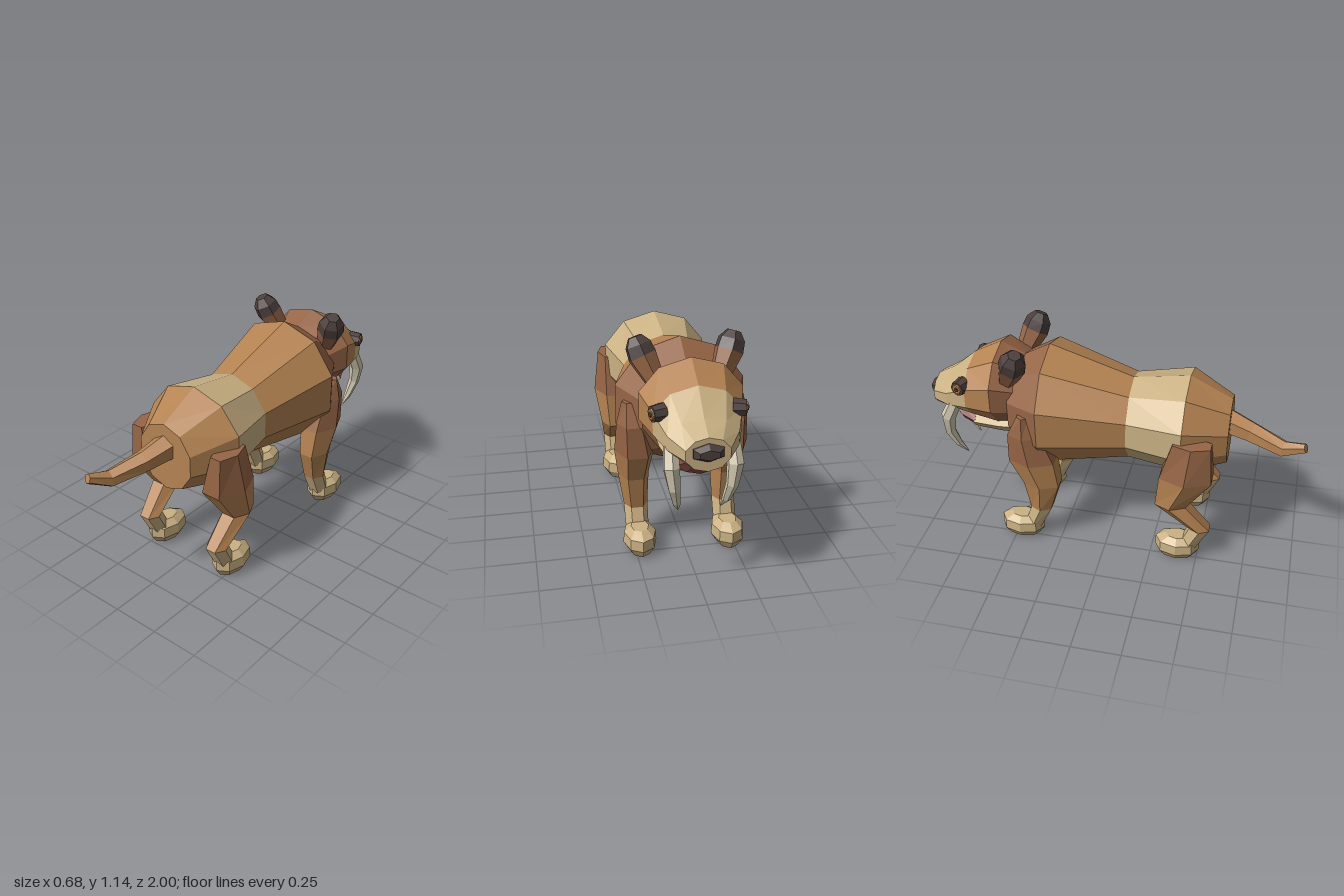
import * as THREE from 'three';

const mat = (name, color, extra = {}) => {
  const m = new THREE.MeshStandardMaterial({ color, flatShading: true, ...extra });
  m.name = name;
  return m;
};

// Elliptical ring across the z axis, first corner on top
function ringZ(z, cy, rx, ry, n = 10, cx = 0) {
  return Array.from({ length: n }, (_, i) => {
    const a = (i / n) * Math.PI * 2;
    return new THREE.Vector3(cx + Math.sin(a) * rx, cy + Math.cos(a) * ry, z);
  });
}

// Elliptical ring across the y axis, first corner on the side
function ringY(y, cx, rx, cz, rz, n = 6) {
  return Array.from({ length: n }, (_, i) => {
    const a = (i / n) * Math.PI * 2;
    return new THREE.Vector3(cx + Math.cos(a) * rx, y, cz + Math.sin(a) * rz);
  });
}

// Rings standing square to a bent path; stops are [x, y, z, radius]
function ringsAlong(stops, n = 6) {
  const pts = stops.map(s => new THREE.Vector3(s[0], s[1], s[2]));
  return stops.map((s, i) => {
    const dir = pts[Math.min(i + 1, pts.length - 1)].clone().sub(pts[Math.max(i - 1, 0)]).normalize();
    const side = new THREE.Vector3(1, 0, 0).addScaledVector(dir, -dir.x).normalize();
    const up = new THREE.Vector3().crossVectors(dir, side);
    return Array.from({ length: n }, (_, k) => {
      const a = ((k + 0.5) / n) * Math.PI * 2;
      return pts[i].clone().addScaledVector(side, Math.cos(a) * s[3]).addScaledVector(up, Math.sin(a) * s[3]);
    });
  });
}

// Closed faceted skin over rings, one material per segment, always facing outward
function skin(name, rings, mats) {
  const n = rings[0].length, tris = [], geo = new THREE.BufferGeometry();
  const used = [...new Set(mats)];
  const centre = r => r.reduce((c, p) => c.add(p), new THREE.Vector3()).divideScalar(n);
  const c0 = centre(rings[0]), c1 = centre(rings[rings.length - 1]);
  for (let s = 0; s < rings.length - 1; s++) {
    const start = tris.length, A = rings[s], B = rings[s + 1];
    for (let i = 0; i < n; i++) {
      const j = (i + 1) % n;
      tris.push([A[i], B[i], B[j]], [A[i], B[j], A[j]]);
      if (s === 0) tris.push([c0, A[i], A[j]]);
      if (s === rings.length - 2) tris.push([c1, B[j], B[i]]);
    }
    geo.addGroup(start * 3, (tris.length - start) * 3, used.indexOf(mats[Math.min(s, mats.length - 1)]));
  }
  const volume = tris.reduce((v, [a, b, c]) => v + a.clone().sub(c0).dot(b.clone().sub(c0).cross(c.clone().sub(c0))), 0);
  if (volume < 0) tris.forEach(t => t.reverse());
  geo.setFromPoints(tris.flat());
  geo.computeVertexNormals();
  const mesh = new THREE.Mesh(geo, used);
  mesh.name = name;
  return mesh;
}

export function createModel() {
  const fur = mat('brown fur', 0xb58352);
  const mane = mat('dark brown fur', 0x966546);
  const tan = mat('tan fur', 0xcbb284);
  const dark = mat('charcoal', 0x4c403d);
  const ivory = mat('ivory', 0xd3cbb2);
  const red = mat('mouth red', 0x87483f);
  const amber = mat('amber', 0xb5763c);

  const model = new THREE.Group();
  model.name = 'sabreToothCat';

  // Trunk from rump to neck
  model.add(skin('body', [
    ringZ(0.61, 0.69, 0.167, 0.18),
    ringZ(0.39, 0.72, 0.292, 0.26),
    ringZ(0.1, 0.71, 0.226, 0.225),
    ringZ(-0.34, 0.745, 0.335, 0.33),
    ringZ(-0.52, 0.755, 0.225, 0.22),
  ], [fur, tan, fur, mane]));

  // Head, tapering into a pale muzzle
  model.add(skin('head', [
    ringZ(-0.46, 0.81, 0.19, 0.185),
    ringZ(-0.6, 0.84, 0.257, 0.22),
    ringZ(-0.75, 0.81, 0.215, 0.17),
    ringZ(-0.87, 0.768, 0.17, 0.108),
    ringZ(-0.965, 0.745, 0.105, 0.08),
  ], [mane, fur, tan, tan]));

  model.add(skin('nose', [
    ringZ(-0.93, 0.757, 0.08, 0.045, 6),
    ringZ(-0.975, 0.757, 0.078, 0.042, 6),
    ringZ(-1, 0.757, 0.05, 0.024, 6),
  ], [dark]));

  // Open lower jaw with the mouth lining showing in front
  model.add(skin('jaw', [
    ringZ(-0.52, 0.63, 0.15, 0.08, 8),
    ringZ(-0.6, 0.625, 0.15, 0.075, 8),
    ringZ(-0.75, 0.615, 0.125, 0.062, 8),
  ], [tan]));
  model.add(skin('mouth', [
    ringZ(-0.74, 0.62, 0.125, 0.062, 8),
    ringZ(-0.82, 0.635, 0.095, 0.055, 8),
    ringZ(-0.87, 0.67, 0.07, 0.035, 8),
  ], [red]));

  // Curling tail
  model.add(skin('tail', ringsAlong([
    [0.005, 0.75, 0.55, 0.075], [-0.035, 0.708, 0.72, 0.056],
    [-0.095, 0.672, 0.89, 0.044], [-0.125, 0.712, 0.995, 0.025],
  ]), [fur]));

  for (const s of [1, -1]) {
    const side = s > 0 ? 'left' : 'right';

    model.add(skin(side + 'HindLeg', [
      ringY(0.74, s * 0.255, 0.06, 0.445, 0.11),
      ringY(0.53, s * 0.235, 0.107, 0.422, 0.154),
      ringY(0.35, s * 0.238, 0.075, 0.35, 0.092),
      ringY(0.2, s * 0.228, 0.059, 0.508, 0.06),
      ringY(0.07, s * 0.228, 0.058, 0.445, 0.055),
    ], [mane, fur, fur, tan]));

    model.add(skin(side + 'FrontLeg', [
      ringY(0.79, s * 0.255, 0.045, -0.42, 0.035),
      ringY(0.68, s * 0.25, 0.075, -0.415, 0.1),
      ringY(0.52, s * 0.235, 0.1, -0.385, 0.138),
      ringY(0.37, s * 0.236, 0.078, -0.34, 0.108),
      ringY(0.2, s * 0.228, 0.06, -0.352, 0.064),
      ringY(0.07, s * 0.228, 0.058, -0.405, 0.055),
    ], [mane, mane, fur, fur, tan]));

    // Rounded paws
    for (const [name, z] of [['HindPaw', 0.393], ['FrontPaw', -0.467]]) {
      model.add(skin(side + name, [
        ringY(0, s * 0.226, 0.055, z, 0.09, 8),
        ringY(0.045, s * 0.226, 0.084, z, 0.12, 8),
        ringY(0.1, s * 0.226, 0.08, z, 0.118, 8),
        ringY(0.13, s * 0.226, 0.045, z, 0.062, 8),
      ], [tan]));
    }

    // Ear with a dark cap
    model.add(skin(side + 'Ear', ringsAlong([
      [s * 0.155, 0.93, -0.525, 0.05], [s * 0.205, 1.035, -0.48, 0.072],
      [s * 0.222, 1.085, -0.462, 0.066], [s * 0.235, 1.122, -0.45, 0.035],
    ]), [mane, dark, dark]));

    // Eye: dark rim, amber iris and a small pupil facing outward
    const eye = new THREE.Group();
    eye.name = side + 'Eye';
    for (const [name, r, h, x, m] of [
      ['eyeRim', 0.045, 0.06, 0, dark], ['iris', 0.03, 0.008, 0.032, amber], ['pupil', 0.013, 0.006, 0.038, dark],
    ]) {
      const disc = new THREE.Mesh(new THREE.CylinderGeometry(r * 0.85, r, h, 8), m);
      disc.name = name;
      disc.rotation.z = -Math.PI / 2;
      disc.position.x = x;
      eye.add(disc);
    }
    eye.position.set(s * 0.186, 0.872, -0.772);
    eye.rotation.y = s > 0 ? 0.3 : Math.PI - 0.3;
    model.add(eye);

    // Long curved fang
    model.add(skin(side + 'Fang', ringsAlong([
      [s * 0.14, 0.74, -0.835, 0.036], [s * 0.145, 0.65, -0.878, 0.04],
      [s * 0.132, 0.55, -0.882, 0.03], [s * 0.115, 0.46, -0.848, 0.02], [s * 0.1, 0.4, -0.805, 0.003],
    ]), [ivory]));
  }
  return model;
}
